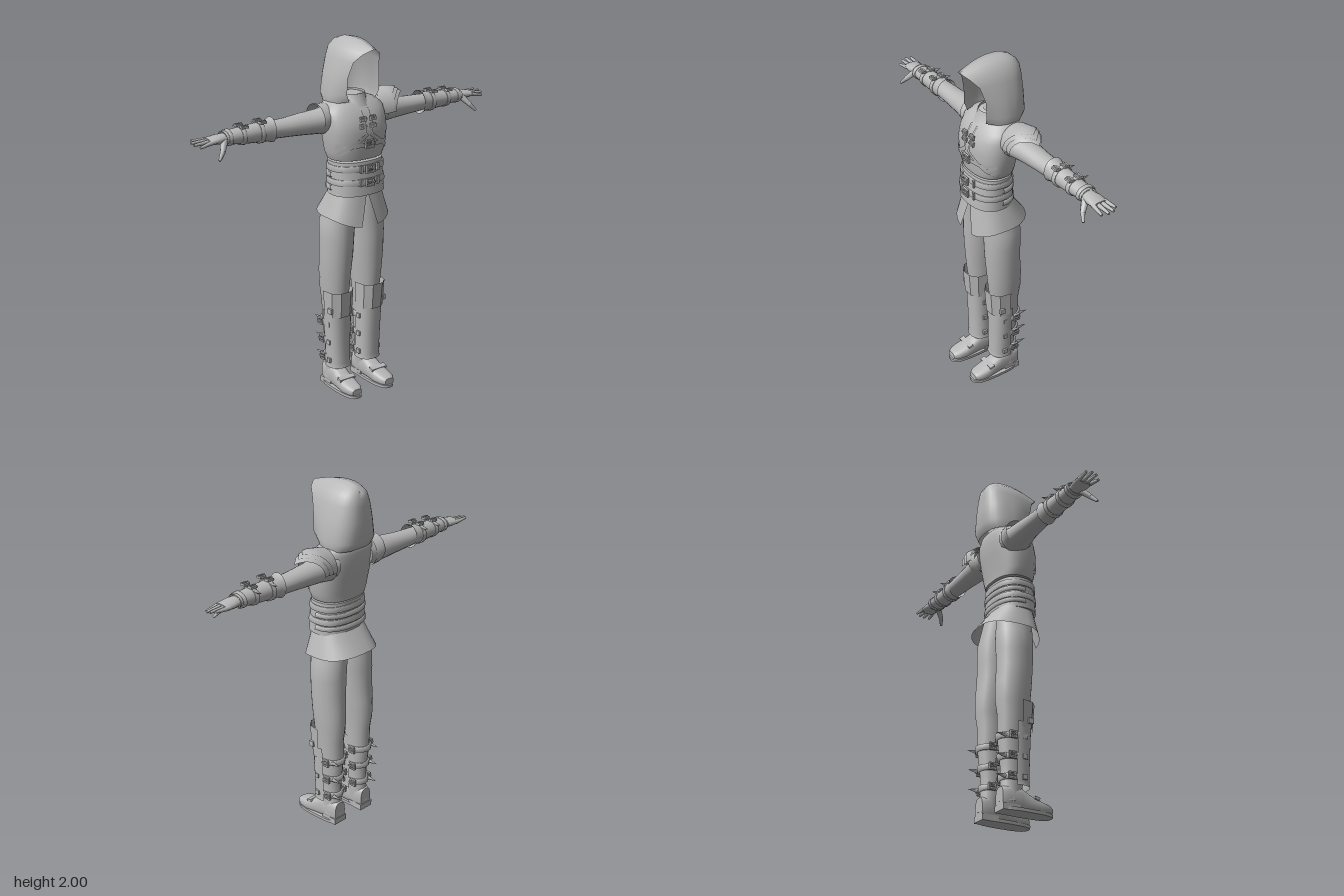
import * as THREE from 'three';

const grey = new THREE.MeshStandardMaterial({ color: 0xb8b8b8, side: THREE.DoubleSide });
grey.name = 'grey';
const PI = Math.PI, lerp = THREE.MathUtils.lerp;

function part(parent, name, geo, pos = [0, 0, 0], rot = [0, 0, 0]) {
  const m = new THREE.Mesh(geo, grey);
  m.name = name;
  m.position.set(...pos);
  m.rotation.set(...rot);
  parent.add(m);
  return m;
}

// surface from fn(u, v), u along the rows and v along the columns, both 0..1
function grid(nu, nv, fn, closed = false) {
  const pos = [], idx = [], cols = closed ? nv : nv + 1;
  for (let i = 0; i <= nu; i++) for (let j = 0; j < cols; j++) pos.push(...fn(i / nu, j / nv));
  for (let i = 0; i < nu; i++) for (let j = 0; j < nv; j++) {
    const k = (j + 1) % cols;
    const a = i * cols + j, b = a + cols, c = i * cols + k, d = c + cols;
    idx.push(a, b, c, c, b, d);
  }
  const g = new THREE.BufferGeometry();
  g.setAttribute('position', new THREE.Float32BufferAttribute(pos, 3));
  g.setIndex(idx);
  g.computeVertexNormals();
  return g;
}

const power = (c, p) => Math.sign(c) * Math.abs(c) ** (2 / p);

// loft through rings [t, centreA, centreB, radiusA, radiusB] along an axis
// (y: A=x B=z, x: A=z B=y, z: A=x B=y with t descending)
function loft(axis, rings, { n = 20, p = 2, arc = null, cap = true, flat = false } = {}) {
  const rows = rings.slice();
  if (cap && !arc) {
    const f = rows[0], l = rows[rows.length - 1];
    rows.unshift([f[0], f[1], f[2], 0, 0], f);
    rows.push(l, [l[0], l[1], l[2], 0, 0]);
  }
  const [s, e] = arc || [0, 2 * PI];
  const g = grid(rows.length - 1, n, (u, v) => {
    const [t, ca, cb, ra, rb] = rows[Math.round(u * (rows.length - 1))];
    const th = lerp(s, e, v);
    const a = ca + ra * power(Math.cos(th), p), b = cb + rb * power(Math.sin(th), p);
    return axis === 'y' ? [a, t, b] : axis === 'x' ? [t, b, a] : [a, b, t];
  }, !arc);
  if (!flat) return g;
  const f = g.toNonIndexed();
  f.computeVertexNormals();
  return f;
}

// interpolated ring, and a strap wrapped round a loft
function sample(rings, t) {
  const i = Math.max(1, rings.findIndex((r, k) => k > 0 && (r[0] - t) * (rings[1][0] - rings[0][0]) >= 0));
  const a = rings[i - 1], b = rings[i], k = (t - a[0]) / (b[0] - a[0]);
  return a.map((x, j) => lerp(x, b[j], k));
}
function band(axis, rings, t, w, off, opts = {}) {
  const make = (d, o) => { const r = sample(rings, t + d); r[3] += o; r[4] += o; return r; };
  const h = w / 2;
  return loft(axis, [make(-h, 0), make(-h, off), make(h, off), make(h, 0)], { cap: false, ...opts });
}

// rectangular buckle frame with a tongue
function buckle(parent, w, h, pos, rot) {
  const rect = (P, a, b) => { const q = new P(); q.moveTo(-a, -b); q.lineTo(a, -b); q.lineTo(a, b); q.lineTo(-a, b); q.closePath(); return q; };
  const s = rect(THREE.Shape, w / 2, h / 2);
  s.holes.push(rect(THREE.Path, w / 2 - 0.008, h / 2 - 0.008));
  const b = part(parent, 'buckle', new THREE.ExtrudeGeometry(s, { depth: 0.012, bevelEnabled: false }), pos, rot);
  part(b, 'buckleTongue', new THREE.BoxGeometry(w * 1.1, 0.007, 0.008), [0, 0, 0.012]);
}

function limb(parent, name, from, to, r0, r1) {
  const a = new THREE.Vector3(...from), b = new THREE.Vector3(...to), d = b.clone().sub(a);
  const m = part(parent, name, new THREE.CylinderGeometry(r1, r0, d.length(), 8), a.clone().add(b).multiplyScalar(0.5).toArray());
  m.quaternion.setFromUnitVectors(new THREE.Vector3(0, 1, 0), d.normalize());
}

const VEST = [[1.355, 0, 0.005, 0.155, 0.112], [1.4, 0, 0.007, 0.175, 0.117], [1.5, 0, 0.002, 0.187, 0.13],
  [1.57, 0, -0.01, 0.187, 0.128], [1.62, 0, -0.025, 0.186, 0.112], [1.655, 0, -0.038, 0.155, 0.095], [1.69, 0, -0.045, 0.07, 0.06]];
const BELT = [[1.16, 0, 0.018, 0.16, 0.12], [1.25, 0, 0.015, 0.155, 0.115], [1.345, 0, 0.01, 0.155, 0.11]];
const LEG = [[0.05, 0.108, -0.055, 0.05, 0.06], [0.15, 0.103, -0.04, 0.05, 0.062], [0.25, 0.103, -0.035, 0.054, 0.068],
  [0.4, 0.105, -0.04, 0.062, 0.08], [0.52, 0.107, -0.035, 0.068, 0.085], [0.6, 0.108, -0.035, 0.075, 0.098],
  [0.7, 0.108, -0.03, 0.084, 0.102], [0.8, 0.105, -0.022, 0.09, 0.102], [0.9, 0.103, -0.02, 0.093, 0.105],
  [1.0, 0.098, -0.02, 0.096, 0.105], [1.15, 0.075, -0.005, 0.075, 0.095]];
const ARM = [[0.12, -0.05, 1.57, 0.08, 0.075], [0.2, -0.05, 1.56, 0.078, 0.066], [0.3, -0.055, 1.56, 0.066, 0.059],
  [0.4, -0.057, 1.558, 0.058, 0.051], [0.47, -0.058, 1.558, 0.055, 0.048], [0.78, -0.055, 1.562, 0.04, 0.028]];
const BRACER = [[0.495, -0.056, 1.562, 0.06, 0.068], [0.52, -0.056, 1.56, 0.054, 0.056],
  [0.65, -0.055, 1.56, 0.05, 0.047], [0.785, -0.055, 1.564, 0.047, 0.034]];

// flat strap across the chest, following the vest
function chestStrap(parent, p, q, w) {
  const dx = q[0] - p[0], dy = q[1] - p[1], l = Math.hypot(dx, dy);
  part(parent, 'chestStrap', grid(10, 1, (u, v) => {
    const x = p[0] + dx * u - dy / l * w * (v - 0.5), y = p[1] + dy * u + dx / l * w * (v - 0.5);
    const r = sample(VEST, y), c = Math.min(1, Math.abs(x / r[3])) ** 2.4;
    return [x, y, r[2] + r[4] * (1 - c) ** (1 / 2.4) + 0.007];
  }));
}

function buildTorso(g) {
  part(g, 'vest', loft('y', VEST, { n: 32, p: 2.4 }));
  part(g, 'belt', loft('y', BELT, { n: 32, p: 2.4 }));
  for (const y of [1.235, 1.31]) {
    part(g, 'beltStrap', band('y', BELT, y, 0.032, 0.007, { n: 32, p: 2.4 }));
    buckle(g, 0.055, 0.045, [0, y, 0.143], [0, 0, 0]);
    for (const x of [-0.05, 0.06]) part(g, 'beltLoop', new THREE.BoxGeometry(0.014, 0.042, 0.012), [x, y, 0.136]);
  }
  for (const y of [1.2, 1.272]) part(g, 'backBeltStrip', band('y', BELT, y, 0.024, 0.01, { n: 16, p: 2.4, arc: [PI, 2 * PI] }));
  // skirt, split at the front
  part(g, 'skirt', grid(3, 32, (u, v) => {
    const gap = 0.2 * (1 - u), th = PI / 2 + lerp(gap, 2 * PI - gap, v), s = Math.sin(th);
    const hem = 1.035 - (s > 0 ? 0.05 : 0.02) * s * Math.abs(s);
    const front = lerp(0.15, 0.12, u), back = lerp(0.19, 0.095, u);
    return [lerp(0.192, 0.145, u) * power(Math.cos(th), 2.5), lerp(hem, 1.18, u), power(s, 2.5) * (s > 0 ? front : back)];
  }));
  // crossed straps and clasps
  for (const s of [1, -1]) {
    chestStrap(g, [s * 0.16, 1.395], [s * 0.01, 1.5], 0.022);
    chestStrap(g, [s * 0.02, 1.5], [s * 0.025, 1.63], 0.012);
    for (const y of [1.54, 1.58]) buckle(g, 0.036, 0.026, [s * 0.032, y, 0.12], [-0.12, 0, 0]);
  }
  chestStrap(g, [-0.17, 1.44], [0.17, 1.44], 0.024);
  buckle(g, 0.055, 0.045, [0, 1.445, 0.136], [0, 0, 0]);
  part(g, 'collar', loft('y', [[1.635, 0, -0.02, 0.095, 0.1], [1.67, 0, -0.03, 0.08, 0.09], [1.7, 0, -0.035, 0.078, 0.085]], { cap: false }));
}

function buildHood(g) {
  // [frontY, backY, crownRise, rimX, rimZ, sideX, backZ]
  const L = [[1.67, 1.65, -0.01, 0.085, 0.075, 0.14, -0.155], [1.71, 1.69, 0, 0.105, 0.082, 0.148, -0.182],
    [1.8, 1.8, 0, 0.103, 0.085, 0.13, -0.18], [1.885, 1.885, 0.005, 0.085, 0.11, 0.108, -0.175],
    [1.93, 1.925, 0.022, 0.055, 0.15, 0.085, -0.17], [1.95, 1.94, 0.043, 0.018, 0.172, 0.045, -0.16],
    [1.955, 1.945, 0.047, 0, 0.176, 0, -0.15]];
  part(g, 'hood', grid(L.length - 1, 32, (u, v) => {
    const [yf, yb, rise, xf, zf, xs, zb] = L[Math.round(u * (L.length - 1))];
    const s = v * 2 - 1, a = Math.abs(s), side = Math.sign(s), zs = -0.04;
    const y = lerp(yb, yf, a) + rise * Math.sin(PI * a);
    if (a >= 0.5) {
      const k = 2 - 2 * a;
      return [side * lerp(xf, xs, Math.sin(k * PI / 2)), y, lerp(zf, zs, k)];
    }
    const f = (0.5 - a) * PI;
    return [side * xs * Math.abs(Math.cos(f)) ** 0.75, y, lerp(zs, zb, Math.sin(f) ** 0.8)];
  }));
}

function buildArm(g) {
  part(g, 'sleeve', loft('x', ARM));
  part(g, 'armhole', loft('x', [[0.15, -0.05, 1.57, 0.085, 0.085], [0.2, -0.05, 1.573, 0.092, 0.08], [0.215, -0.05, 1.578, 0.088, 0.08]], { cap: false }));
  part(g, 'bracer', loft('x', BRACER, { cap: false }));
  for (const x of [0.57, 0.68]) {
    part(g, 'bracerStrap', band('x', BRACER, x, 0.022, 0.006));
    const top = sample(BRACER, x);
    for (const z of [-0.07, -0.015]) buckle(g, 0.038, 0.03, [x, top[2] + top[4] * 0.9 + 0.006, z], [-PI / 2, 0, 0]);
    part(g, 'strapEnd', new THREE.ConeGeometry(0.013, 0.045, 4), [x, top[2] + top[4] * 0.75, -0.112], [-PI / 2, 0, 0]);
  }
  part(g, 'cuff', band('x', BRACER, 0.76, 0.02, 0.006));
  // hand
  part(g, 'palm', loft('x', [[0.77, -0.055, 1.563, 0.036, 0.026], [0.82, -0.056, 1.562, 0.047, 0.025], [0.875, -0.058, 1.56, 0.048, 0.016]], { n: 14 }));
  [[-0.018, 0.935, 1.545], [-0.044, 0.956, 1.556], [-0.071, 0.958, 1.562], [-0.096, 0.942, 1.566]].forEach(([z, x, y]) =>
    limb(g, 'finger', [0.86, 1.56, z * 0.9 - 0.006], [x, y, z], 0.013, 0.007));
  limb(g, 'thumb', [0.79, 1.555, -0.03], [0.825, 1.51, 0.01], 0.02, 0.014);
  limb(g, 'thumbTip', [0.822, 1.513, 0.008], [0.855, 1.475, 0.028], 0.014, 0.007);
}

function buildPauldron(g) {
  // three overlapping plates with a pointed outer edge
  for (let i = 0; i < 3; i++) part(g, 'shoulderPlate', grid(8, 20, (u, v) => {
    const th = lerp(-0.1, PI + 0.1, v);
    const x = lerp(0.165, 0.38 - 0.028 * i - 0.12 * Math.abs(Math.cos(th)) ** 1.2, u);
    const d = x - 0.25;
    const r = 1 - (d > 0 ? 22 * d * d : -1.8 * d) + 0.06 * i;
    return [x, 1.572 + 0.105 * r * Math.sin(th), -0.055 + 0.1 * r * Math.cos(th)];
  }));
}

function buildLeg(g) {
  part(g, 'trouserLeg', loft('y', LEG));
  const SHIN = [[0.135, 0.103, -0.012, 0.07, 0.07], [0.16, 0.103, -0.012, 0.066, 0.066], [0.3, 0.106, -0.012, 0.07, 0.068], [0.48, 0.109, -0.012, 0.076, 0.074]];
  part(g, 'shinGuard', loft('y', SHIN, { arc: [-0.4, PI + 0.4], n: 16, p: 2.3 }));
  part(g, 'kneeGuard', loft('y', [[0.45, 0.109, -0.01, 0.078, 0.082], [0.6, 0.11, -0.01, 0.085, 0.094]], { arc: [-0.1, PI + 0.1], n: 5, p: 2.3, flat: true }));
  // straps round the calf with side buckles
  for (const y of [0.18, 0.29, 0.4]) {
    const r = sample(LEG, y);
    part(g, 'legStrap', band('y', LEG, y, 0.03, 0.012));
    part(g, 'strapEnd', new THREE.ConeGeometry(0.014, 0.06, 4), [r[1] + r[3] * 0.8, y, -0.13], [-PI / 2, 0, 0]);
    for (const s of [1, -1]) {
      buckle(g, 0.04, 0.04, [r[1] + s * (r[3] + 0.006), y, -0.072], [0, s * PI / 2, 0]);
      part(g, 'strapStud', new THREE.BoxGeometry(0.014, 0.026, 0.026), [r[1] + s * 0.07, y, 0]);
    }
  }
  part(g, 'kneeStud', new THREE.BoxGeometry(0.014, 0.03, 0.03), [0.185, 0.49, 0.03]);
  // boot
  part(g, 'boot', loft('z', [[0.185, 0.115, 0.035, 0.03, 0.018], [0.16, 0.114, 0.038, 0.046, 0.028], [0.11, 0.113, 0.042, 0.054, 0.036],
    [0.05, 0.11, 0.055, 0.05, 0.048], [0, 0.108, 0.07, 0.048, 0.063], [-0.07, 0.107, 0.075, 0.05, 0.068], [-0.113, 0.106, 0.068, 0.038, 0.06]], { p: 2.8 }));
  part(g, 'sole', loft('y', [[0, 0.112, 0.04, 0.054, 0.155], [0.018, 0.112, 0.04, 0.055, 0.157]], { p: 2.8 }));
  part(g, 'heel', new THREE.BoxGeometry(0.09, 0.035, 0.1), [0.107, 0.0175, -0.066]);
  part(g, 'bootStrap', new THREE.BoxGeometry(0.105, 0.016, 0.03), [0.112, 0.083, 0.08], [0.3, 0, 0]);
}

export function createModel() {
  const model = new THREE.Group();
  model.name = 'hoodedFigure';
  const group = (name, build, mirror = 1) => {
    const g = new THREE.Group();
    g.name = name;
    g.scale.x = mirror;
    build(g);
    model.add(g);
  };
  group('torso', buildTorso);
  group('hoodGroup', buildHood);
  group('pauldron', buildPauldron);
  for (const [side, s] of [['left', 1], ['right', -1]]) {
    group(side + 'Arm', buildArm, s);
    group(side + 'Leg', buildLeg, s);
  }
  return model;
}
